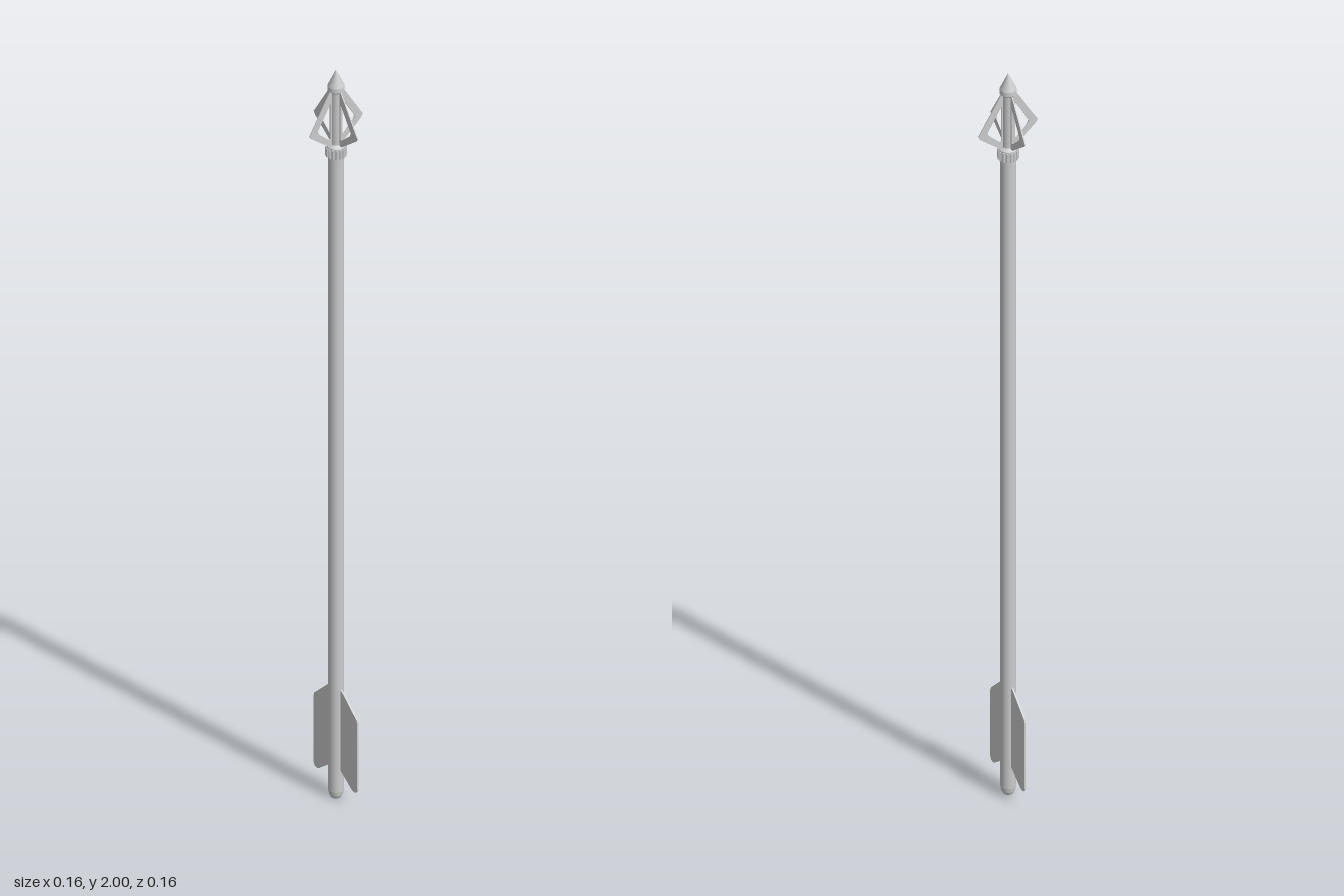
import * as THREE from 'three';

const material = new THREE.MeshStandardMaterial({ color: 0xcccccc });

function addMesh(parent, name, geometry) {
  const mesh = new THREE.Mesh(geometry, material);
  mesh.name = name;
  parent.add(mesh);
  return mesh;
}

// Turned part; each profile segment is lathed on its own so the edges stay sharp
function addTurned(parent, name, profile, sides = 24) {
  const part = new THREE.Group();
  part.name = name;
  for (let i = 0; i < profile.length - 1; i++) {
    const segment = [profile[i], profile[i + 1]].map(([r, y]) => new THREE.Vector2(r, y));
    addMesh(part, name + 'Section', new THREE.LatheGeometry(segment, sides));
  }
  parent.add(part);
}

// Thin plate cut from an outline in the xy plane, centred on z = 0
function plate(outline, thickness, hole) {
  const points = (list) => list.map(([x, y]) => new THREE.Vector2(x, y));
  const shape = new THREE.Shape(points(outline));
  if (hole) shape.holes.push(new THREE.Path(points(hole)));
  return new THREE.ExtrudeGeometry(shape, { depth: thickness, bevelEnabled: false })
    .translate(0, 0, -thickness / 2);
}

export function createModel() {
  const arrow = new THREE.Group();
  arrow.name = 'arrow';

  // Shaft with its rounded nock end
  addTurned(arrow, 'shaft', [[0.0185, 0.02], [0.0185, 1.77]]);
  addTurned(arrow, 'nock', [[0, 0], [0.012, 0], [0.0165, 0.008], [0.0185, 0.02]]);

  // Collar under the head, ringed with grip ridges
  addTurned(arrow, 'collar', [[0.0185, 1.765], [0.022, 1.765], [0.022, 1.793], [0.013, 1.8]]);
  const ridges = new THREE.Group();
  ridges.name = 'collarRidges';
  const ridgeCount = 16;
  for (let i = 0; i < ridgeCount; i++) {
    const a = ((i + 0.5) / ridgeCount) * Math.PI * 2;
    const ridge = addMesh(ridges, 'ridge', new THREE.CylinderGeometry(0.003, 0.003, 0.024, 8));
    ridge.position.set(Math.cos(a) * 0.0225, 1.778, Math.sin(a) * 0.0225);
  }
  arrow.add(ridges);

  // Head core and pointed tip
  addTurned(arrow, 'headCore', [[0.014, 1.795], [0.014, 1.945]]);
  addTurned(arrow, 'tip', [[0.014, 1.94], [0.02, 1.946], [0.0195, 1.957], [0, 2]]);

  // Four open blades round the core
  const blade = plate(
    [[0.008, 1.797], [0.022, 1.797], [0.073, 1.838], [0.079, 1.847], [0.017, 1.947], [0.008, 1.947]],
    0.003,
    [[0.018, 1.816], [0.018, 1.913], [0.055, 1.852], [0.052, 1.843], [0.023, 1.816]],
  );
  for (let i = 0; i < 4; i++) {
    addMesh(arrow, 'blade', blade).rotation.y = (i * Math.PI) / 2;
  }

  // Two flat vanes at the tail
  const vane = plate(
    [[0.01, 0.073], [0.018, 0.08], [0.058, 0.048], [0.066, 0.044], [0.074, 0.046], [0.079, 0.054],
      [0.079, 0.238], [0.076, 0.247], [0.026, 0.296], [0.018, 0.301], [0.01, 0.301]],
    0.004,
  );
  for (let i = 0; i < 2; i++) {
    addMesh(arrow, 'vane', vane).rotation.y = i * Math.PI;
  }

  return arrow;
}
